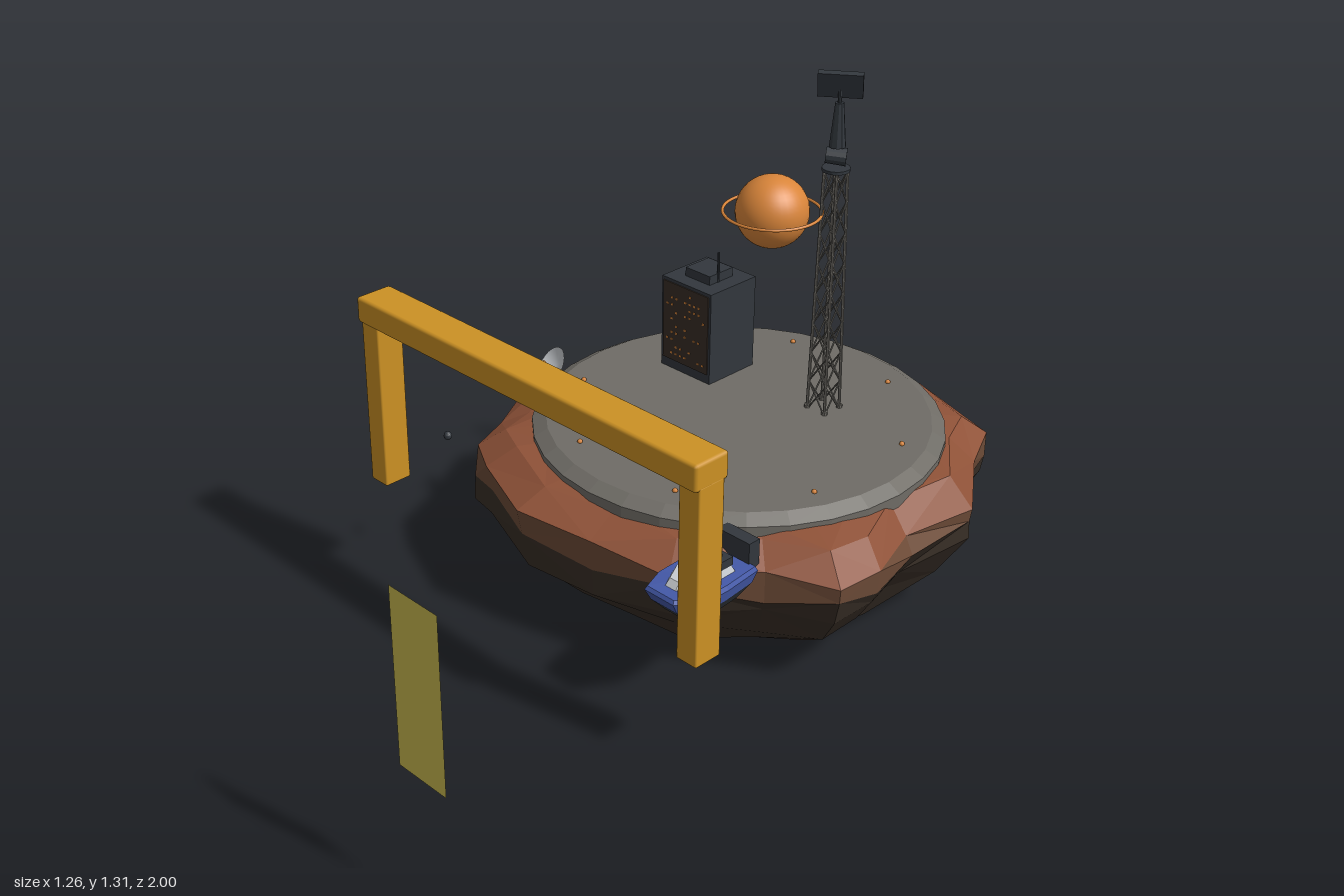
import * as THREE from 'three';
import { RoundedBoxGeometry } from 'three/addons/geometries/RoundedBoxGeometry.js';

const mat = (name, color, extra = {}) =>
  Object.assign(new THREE.MeshStandardMaterial({ color, ...extra }), { name });

export function createModel() {
  const M = {
    rust: mat('rust rock', 0x8f5238, { flatShading: true }),
    brown: mat('brown rock', 0x6e4c38, { flatShading: true }),
    dark: mat('dark rock', 0x382e26, { flatShading: true }),
    deck: mat('deck grey', 0x6f6c66, { flatShading: true }),
    charcoal: mat('charcoal', 0x32373d, { flatShading: true }),
    orange: mat('orange', 0xd9853a),
    yellow: mat('beam yellow', 0xcc9124),
    blue: mat('boat blue', 0x4459a8, { flatShading: true }),
    white: mat('white', 0xc8ccd0, { side: THREE.DoubleSide }),
    olive: mat('banner yellow', 0xc9b950, { side: THREE.DoubleSide }),
  };
  const root = new THREE.Group();
  root.name = 'asteroidBase';

  const add = (name, geo, material, x = 0, y = 0, z = 0, parent = root) => {
    const mesh = new THREE.Mesh(geo, material);
    mesh.name = name;
    mesh.position.set(x, y, z);
    parent.add(mesh);
    return mesh;
  };
  const group = (name, x, y, z) => {
    const g = new THREE.Group();
    g.name = name;
    g.position.set(x, y, z);
    root.add(g);
    return g;
  };
  const box = (w, h, d) => new THREE.BoxGeometry(w, h, d);
  const cyl = (r1, r2, h, n = 12) => new THREE.CylinderGeometry(r1, r2, h, n);
  let seed = 7;
  const rand = () => (seed = (seed * 16807) % 2147483647) / 2147483647;

  // Closed loft through horizontal rings, one geometry group per band
  function loft(rings, bandMaterials) {
    const pos = [], n = rings[0].length;
    const geo = new THREE.BufferGeometry();
    const tri = (a, b, c) => pos.push(...a, ...b, ...c);
    const mid = (r) => [0, 1, 2].map((k) => r.reduce((s, p) => s + p[k], 0) / n);
    const bottom = mid(rings[0]), top = mid(rings.at(-1));
    for (let j = 0; j < rings.length - 1; j++) {
      const start = pos.length / 3, a = rings[j], b = rings[j + 1];
      for (let i = 0; i < n; i++) {
        const k = (i + 1) % n;
        if (j === 0) tri(bottom, a[i], a[k]);
        if ((i + j) % 2) { tri(a[i], b[i], a[k]); tri(b[i], b[k], a[k]); }
        else { tri(a[i], b[i], b[k]); tri(a[i], b[k], a[k]); }
        if (j === rings.length - 2) tri(top, b[k], b[i]);
      }
      geo.addGroup(start, pos.length / 3 - start, bandMaterials.indexOf(bandMaterials[j]));
    }
    geo.setAttribute('position', new THREE.Float32BufferAttribute(pos, 3));
    geo.computeVertexNormals();
    return geo;
  }

  // Rock: outline as [degrees from +x towards +z, radius]
  const CZ = -0.416;
  const outline = [[2, .58], [16, .652], [27, .695], [41, .613], [62, .624], [82, .60], [102, .645],
    [122, .655], [133, .698], [144, .623], [166, .655], [176, .62], [184, .55], [201, .608],
    [220, .587], [245, .608], [262, .578], [283, .598], [309, .668], [321, .596], [341, .64]];
  const levels = [[0, .6, 0], [.035, .74, .01], [.11, .87, .02], [.19, .965, .025],
    [.25, .985, .025], [.315, .99, .02], [.372, .88, .01], [.385, .76, 0]];
  const rings = levels.map(([y, f, jy], j) => outline.map(([deg, r]) => {
    const a = THREE.MathUtils.degToRad(deg);
    // lower and top rings are rounder than the widest ones
    const round = j < 2 || j > 6 ? .6 : .15;
    const rr = f * THREE.MathUtils.lerp(r, .625, round) * (1 + (j ? (rand() - .5) * .05 : 0));
    return [Math.cos(a) * rr, y + (rand() - .5) * 2 * jy, CZ + Math.sin(a) * rr];
  }));
  const rockBands = [M.dark, M.dark, M.dark, M.dark, M.brown, M.rust, M.rust];
  add('rock', loft(rings, rockBands), rockBands);

  // Landing deck with bevelled rim and marker lights
  add('deckRim', cyl(.525, .525, .045, 32), M.deck, 0, .3725, CZ);
  add('deckTop', cyl(.49, .525, .02, 32), M.deck, 0, .405, CZ);
  for (let i = 0; i < 8; i++) {
    const a = (i + .5) * Math.PI / 4;
    add('deckLight', new THREE.SphereGeometry(.007, 8, 6), M.orange,
      Math.cos(a) * .43, .417, CZ + Math.sin(a) * .43);
  }

  // Gantry with hanging lamps
  const gantry = group('gantry', .01, 0, .296);
  add('beam', new RoundedBoxGeometry(1.13, .067, .1, 1, .008), M.yellow, 0, .767, 0, gantry);
  for (const s of [-1, 1])
    add('post', new RoundedBoxGeometry(.06, .45, .076, 1, .004), M.yellow, s * .535, .517, 0, gantry);
  for (let i = -2; i <= 2; i++)
    add('lamp', new THREE.SphereGeometry(.011, 12, 8), M.orange, i * .205, .715, 0, gantry);

  // Free-standing banner and small beacon
  add('banner', new THREE.PlaneGeometry(.145, .43), M.olive, .467, .517, 1);
  add('beacon', new THREE.SphereGeometry(.011, 12, 8), M.charcoal, -.446, .395, .172);

  // Ringed planet
  const planet = group('ringedPlanet', .008, .942, -.508);
  add('globe', new THREE.SphereGeometry(.092, 32, 24), M.orange, 0, 0, 0, planet);
  add('ring', new THREE.TorusGeometry(.122, .004, 8, 48), M.orange, 0, 0, 0, planet).rotation.x = Math.PI / 2;

  // Lattice tower
  const tower = group('tower', .134, 0, -.59);
  const bar = (name, p, q, r) => {
    const d = q.clone().sub(p), c = p.clone().add(q).multiplyScalar(.5);
    add(name, cyl(r, r, d.length(), 6), M.deck, c.x, c.y, c.z, tower)
      .quaternion.setFromUnitVectors(new THREE.Vector3(0, 1, 0), d.normalize());
  };
  const corner = (k, t) => {
    const h = THREE.MathUtils.lerp(.029, .02, t), a = Math.PI / 4 + k * Math.PI / 2;
    return new THREE.Vector3(Math.cos(a) * h * 1.414, .41 + .65 * t, Math.sin(a) * h * 1.414);
  };
  const bays = 8;
  for (let k = 0; k < 4; k++) {
    bar('leg', corner(k, 0), corner(k, 1), .004);
    add('foot', cyl(.008, .008, .012, 8), M.deck, corner(k, 0).x, .418, corner(k, 0).z, tower);
    for (let i = 0; i < bays; i++) {
      bar('brace', corner(k, i / bays), corner(k + 1, (i + 1) / bays), .0022);
      bar('brace', corner(k + 1, i / bays), corner(k, (i + 1) / bays), .0022);
    }
  }

  // Tower head: platform, drum, cone and tilted panel
  add('platform', cyl(.035, .035, .008, 16), M.charcoal, 0, 1.066, 0, tower);
  const drum = add('drum', cyl(.02, .022, .05, 12), M.charcoal, -.002, 1.098, 0, tower);
  drum.rotation.set(.3, .6, Math.PI / 2 - .25);
  add('cone', cyl(.011, .021, .11, 10), M.charcoal, 0, 1.178, 0, tower);
  add('neck', cyl(.005, .005, .04, 8), M.charcoal, 0, 1.245, 0, tower);
  const panel = new THREE.Group();
  panel.name = 'panel';
  panel.position.set(0, 1.278, 0);
  panel.rotation.set(-.3, -2.52, 0, 'YXZ');
  tower.add(panel);
  add('panelBody', box(.108, .066, .016), M.charcoal, 0, 0, 0, panel);
  for (let i = -2; i <= 2; i++)
    add('panelStripe', box(.014, .058, .004), M.orange, i * .02, 0, .0085, panel);

  // Control block with lit facade
  const block = group('controlBlock', -.24, 0, -.553);
  add('body', box(.175, .257, .168), M.charcoal, 0, .5435, 0, block);
  add('facade', box(.16, .222, .004), M.dark, 0, .552, .085, block);
  add('roofUnit', box(.086, .025, .086), M.charcoal, 0, .684, 0, block);
  add('aerial', cyl(.003, .004, .085, 8), M.charcoal, .042, .712, .01, block);
  for (let r = 0; r < 10; r++)
    for (let c = 0; c < 9; c++)
      if (rand() < .4)
        add('window', box(.006, .005, .002), M.orange, -.064 + c * .016, .462 + r * .02, .0875, block);

  // Dish antenna
  add('dishPole', cyl(.006, .009, .075, 10), M.charcoal, -.382, .45, -.152);
  const dish = group('dish', -.388, .488, -.148);
  dish.quaternion.setFromUnitVectors(new THREE.Vector3(0, 1, 0), new THREE.Vector3(-.3, .58, .76).normalize());
  const bowl = [0, .012, .025, .038, .048, .054].map((r) => new THREE.Vector2(r, r * r * 7));
  add('bowl', new THREE.LatheGeometry(bowl, 24), M.white, 0, 0, 0, dish);
  add('feedArm', cyl(.002, .002, .045, 6), M.charcoal, 0, .022, 0, dish);
  add('feed', new THREE.SphereGeometry(.007, 10, 8), M.orange, 0, .045, 0, dish);

  // Boat, bow towards +z
  const boat = group('boat', .38, 0, .11);
  const plan = [[.08, 0], [.078, .07], [.045, .142], [-.045, .142], [-.078, .07], [-.08, 0],
    [-.07, -.11], [.07, -.11]];
  const section = (y, f, fz, lift) => plan.map(([x, z]) => [x * f, y + (z > .1 ? lift : 0), z * fz]);
  const hullBands = [M.charcoal, M.blue, M.blue];
  add('hull', loft([section(.265, .6, .65, .012), section(.305, .92, .88, .008),
    section(.335, 1, 1, .01), section(.346, .93, .96, .008)], hullBands), hullBands, 0, 0, 0, boat);
  const foredeck = [[.05, -.06], [.052, .05], [.018, .115], [-.018, .115], [-.052, .05], [-.05, -.06]];
  const white = [M.white];
  add('foredeck', loft([[.34, 1], [.368, .8]].map(([y, f]) =>
    foredeck.map(([x, z]) => [x * f, y, z * f])), white), white, 0, 0, 0, boat);
  add('cabin', box(.085, .022, .085), M.charcoal, 0, .374, -.012, boat);
  add('cabinRoof', box(.05, .008, .05), M.deck, 0, .388, -.012, boat);
  add('engine', box(.1, .07, .035), M.charcoal, 0, .365, -.118, boat);

  return root;
}
